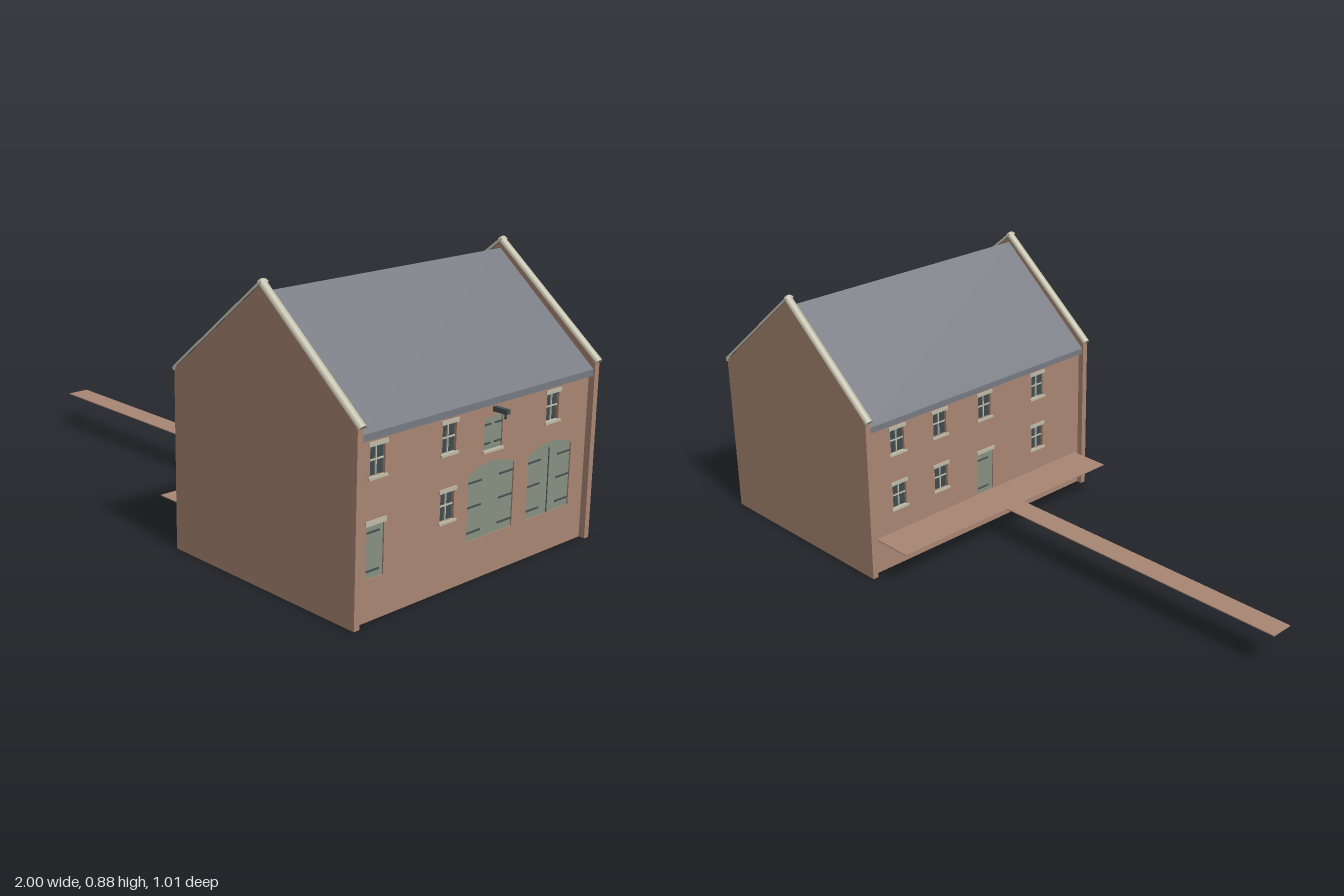
import * as THREE from 'three';

const material = (name, color) => {
  const m = new THREE.MeshStandardMaterial({ color });
  m.name = name;
  return m;
};

export function createModel() {
  const model = new THREE.Group();
  model.name = 'warehouse';
  const brick = material('brick', 0xa98673);
  const slate = material('slate', 0x787a82);
  const stone = material('stone', 0xbdbaa7);
  const green = material('green paint', 0x869080);
  const glass = material('dark glass', 0x3f4a50);
  const iron = material('iron', 0x465052);

  const CX = 0.5975; // ridge line position
  const HALF = 0.3725; // half width of the gables
  const WALL = 0.352; // outer face of the long walls, from the ridge line
  const THICK = 0.015;

  const add = (parent, name, geometry, mat) => {
    const mesh = new THREE.Mesh(geometry, mat);
    mesh.name = name;
    parent.add(mesh);
    return mesh;
  };
  // Box given by its limits
  const box = (parent, name, mat, x0, x1, y0, y1, z0, z1) => {
    const mesh = add(parent, name, new THREE.BoxGeometry(x1 - x0, y1 - y0, z1 - z0), mat);
    mesh.position.set((x0 + x1) / 2, (y0 + y1) / 2, (z0 + z1) / 2);
    return mesh;
  };
  const extrude = (shape, depth) =>
    new THREE.ExtrudeGeometry(shape, { depth, bevelEnabled: false, curveSegments: 16 });
  const polygon = (points) => new THREE.Shape(points.map(([x, y]) => new THREE.Vector2(x, y)));

  // Opening outline, with an optional segmental arch of the given rise
  const outline = (u, w, y0, y1, rise = 0) => {
    const s = new THREE.Shape();
    const h = w / 2;
    s.moveTo(u - h, y0);
    s.lineTo(u + h, y0);
    s.lineTo(u + h, y1);
    if (rise) {
      const r = (h * h + rise * rise) / (2 * rise);
      const a = Math.asin(h / r);
      s.absarc(u, y1 + rise - r, r, Math.PI / 2 - a, Math.PI / 2 + a, false);
    } else s.lineTo(u - h, y1);
    s.closePath();
    return s;
  };

  // Each long wall is drawn flat, facing +z, then turned outward
  const makeWall = (name, side) => {
    const group = new THREE.Group();
    group.name = name;
    group.position.x = CX + side * WALL;
    group.rotation.y = side * Math.PI / 2;
    model.add(group);
    return { group, holes: [] };
  };

  const addWindow = (wall, u, y0) => {
    const g = new THREE.Group();
    g.name = 'window';
    wall.group.add(g);
    const w = 0.056, y1 = y0 + 0.084, ym = y0 + 0.043;
    wall.holes.push(outline(u, w, y0, y1));
    box(g, 'pane', glass, u - w / 2, u + w / 2, y0, y1, -0.013, -0.009);
    box(g, 'glazingBar', stone, u - 0.002, u + 0.002, y0, y1, -0.009, -0.005);
    box(g, 'glazingBar', stone, u - w / 2, u + w / 2, ym - 0.002, ym + 0.002, -0.009, -0.005);
    box(g, 'lintel', stone, u - 0.035, u + 0.035, y1 - 0.001, y1 + 0.011, -0.01, 0.004);
    box(g, 'sill', stone, u - 0.035, u + 0.035, y0 - 0.007, y0, -0.01, 0.006);
  };

  // Door leaf with strap hinges on the listed edges (-1 left, 1 right)
  const addDoor = (wall, name, u, w, y0, y1, { rise = 0, straps = [], edges = [-1, 1], length = 0.06 }) => {
    const g = new THREE.Group();
    g.name = name;
    wall.group.add(g);
    const shape = outline(u, w, y0, y1, rise);
    wall.holes.push(shape);
    add(g, 'leaf', extrude(shape, 0.008), green).position.z = -0.012;
    for (const y of straps) {
      for (const e of edges) {
        const a = u + e * w / 2, b = a - e * length;
        box(g, 'hinge', iron, Math.min(a, b), Math.max(a, b), y - 0.0025, y + 0.0025, -0.004, -0.001);
      }
    }
    return g;
  };

  const finishWall = (wall) => {
    const shape = polygon([[-0.482, 0], [0.482, 0], [0.482, 0.52], [-0.482, 0.52]]);
    shape.holes.push(...wall.holes);
    add(wall.group, 'brickwork', extrude(shape, THICK), brick).position.z = -THICK;
  };

  // Loading side
  const yard = makeWall('loadingWall', 1);
  for (const u of [-0.405, -0.13, 0.315]) addWindow(yard, u, 0.403);
  addWindow(yard, -0.13, 0.208);
  const bigStraps = [0.145, 0.22, 0.292];
  addDoor(yard, 'archedDoor', 0.053, 0.196, 0.12, 0.315, { rise: 0.025, straps: bigStraps });
  const pair = addDoor(yard, 'archedDoorPair', 0.314, 0.198, 0.12, 0.315, { rise: 0.025, straps: bigStraps });
  box(pair, 'meetingLine', iron, 0.3125, 0.3155, 0.12, 0.32, -0.004, -0.002);
  const small = addDoor(yard, 'smallDoor', -0.4075, 0.065, 0.12, 0.27, { straps: [0.142, 0.25], edges: [-1], length: 0.05 });
  box(small, 'lintel', stone, -0.446, -0.369, 0.27, 0.284, -0.01, 0.004);
  const loft = addDoor(yard, 'loftDoor', 0.053, 0.077, 0.375, 0.47, { straps: [0.394, 0.449], length: 0.029 });
  box(loft, 'sill', stone, 0.01, 0.096, 0.368, 0.375, -0.01, 0.006);
  // Hoist beam and hook above the loft door
  box(yard.group, 'hoistBeam', iron, 0.046, 0.06, 0.485, 0.499, -0.01, 0.0505);
  box(yard.group, 'hoistHook', iron, 0.051, 0.055, 0.47, 0.486, 0.037, 0.043);
  finishWall(yard);

  // Walkway side
  const water = makeWall('walkwayWall', -1);
  for (const u of [-0.36, -0.18, 0.02, 0.27]) addWindow(water, u, 0.403);
  for (const u of [-0.36, -0.18, 0.27]) addWindow(water, u, 0.208);
  const back = addDoor(water, 'walkwayDoor', 0.02, 0.07, 0.125, 0.275, { straps: [0.145, 0.25], edges: [-1], length: 0.05 });
  box(back, 'lintel', stone, -0.02, 0.06, 0.275, 0.288, -0.01, 0.004);
  finishWall(water);

  // Gable ends with rounded copings
  const EAVE = 0.555, PEAK = 0.86, CAP = 0.013;
  const angle = Math.atan2(PEAK - EAVE, HALF);
  const slope = Math.hypot(PEAK - EAVE, HALF);
  const over = 0.006, mitre = CAP * Math.tan(angle);
  for (const end of [-1, 1]) {
    const gable = add(model, 'gable',
      extrude(polygon([[-HALF, 0], [HALF, 0], [HALF, EAVE], [0, PEAK], [-HALF, EAVE]]), 0.02), brick);
    gable.position.set(CX, 0, end * 0.49 - 0.01);
    for (const side of [-1, 1]) {
      const length = slope + over + mitre;
      const geo = new THREE.CylinderGeometry(1, 1, length, 16, 1, false, 0, Math.PI);
      geo.scale(CAP, 1, 0.014);
      const coping = add(model, 'coping', geo, stone);
      const d = (slope + over - mitre) / 2; // distance down from the peak
      coping.position.set(CX + side * d * Math.cos(angle), PEAK - d * Math.sin(angle), end * 0.489);
      coping.rotation.z = Math.PI / 2 - side * angle;
      // Flat underside of the coping
      box(model, 'kneeler', stone, CX + side * HALF - 0.004, CX + side * HALF + 0.004,
        EAVE - 0.004, EAVE + 0.004, end * 0.489 - 0.014, end * 0.489 + 0.014);
    }
  }

  // Slate roof with upright eaves
  const roof = add(model, 'roof', extrude(polygon([
    [-0.3675, 0.51], [-0.34, 0.51], [0, 0.8], [0.34, 0.51], [0.3675, 0.51],
    [0.3675, 0.53], [0, 0.84], [-0.3675, 0.53],
  ]), 0.962), slate);
  roof.position.set(CX, 0, -0.481);

  // Thin landing and long walkway
  box(model, 'landing', brick, 0.1, CX - WALL, 0.122, 0.125, -0.463, 0.463);
  box(model, 'walkway', brick, -1, 0.1, 0.122, 0.125, -0.018, 0.06);

  return model;
}
